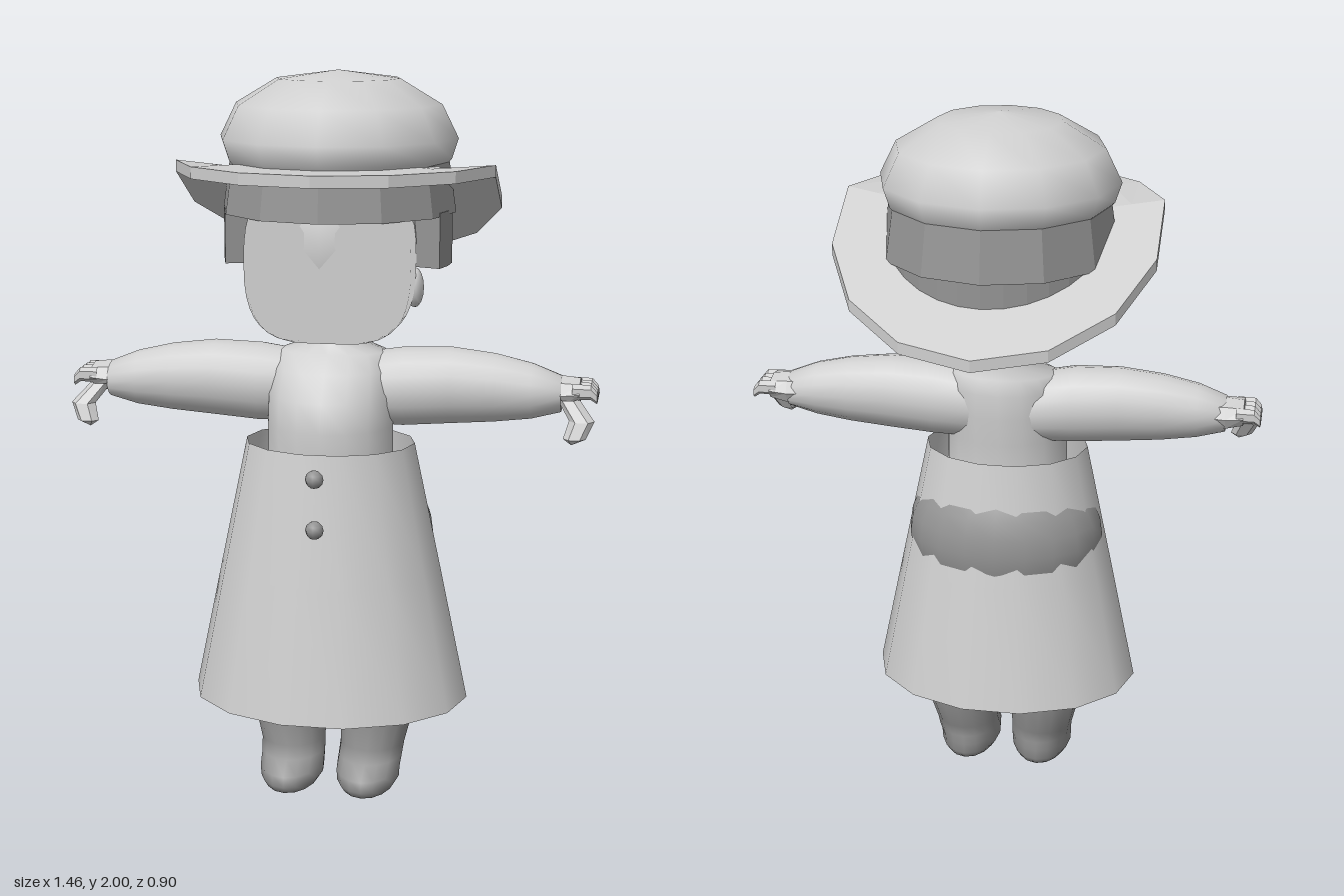
import * as THREE from 'three';
import { mergeVertices } from 'three/addons/utils/BufferGeometryUtils.js';

const light = new THREE.MeshStandardMaterial({ color: 0xcfcfcf, side: THREE.DoubleSide });
light.name = 'lightGrey';
const dark = new THREE.MeshStandardMaterial({ color: 0x949494, side: THREE.DoubleSide });
dark.name = 'midGrey';

// Skin elliptical sections [pos, centreA, centreB, radiusA, radiusB].
// Axis 'y': A = x, B = z. Axis 'x': A = y, B = z, mirrored by side.
function loft(sections, axis = 'y', side = 1, n = 16) {
  const pos = [], idx = [];
  for (const [p, a, b, ra, rb] of sections) {
    for (let j = 0; j < n; j++) {
      const t = (j / n) * Math.PI * 2, c = Math.cos(t) * ra, s = Math.sin(t) * rb;
      if (axis === 'y') pos.push(a + c, p, b - s);
      else pos.push(p * side, a + c, b + s * side);
    }
  }
  for (let i = 0; i < sections.length - 1; i++) {
    for (let j = 0; j < n; j++) {
      const k = (j + 1) % n, a = i * n + j, b = i * n + k;
      idx.push(a, b, a + n, b, b + n, a + n);
    }
  }
  const g = new THREE.BufferGeometry();
  g.setAttribute('position', new THREE.Float32BufferAttribute(pos, 3));
  g.setIndex(idx);
  g.computeVertexNormals();
  return g;
}

function ellipsoid(rx, ry, rz, w = 20, h = 14) {
  return new THREE.SphereGeometry(1, w, h).scale(rx, ry, rz);
}

// Flat-shaded copy of a geometry
function faceted(g) {
  const f = g.toNonIndexed();
  f.computeVertexNormals();
  return f;
}

function lathe(points, sides) {
  return new THREE.LatheGeometry(points.map(([r, y]) => new THREE.Vector2(r, y)), sides);
}

export function createModel() {
  const model = new THREE.Group();
  model.name = 'figure';
  const add = (name, geometry, material, x = 0, y = 0, z = 0, parent = model) => {
    const m = new THREE.Mesh(geometry, material);
    m.name = name;
    m.position.set(x, y, z);
    parent.add(m);
    return m;
  };

  // Torso and neck
  add('torso', loft([
    [0.8, 0, 0.15, 0.19, 0.15], [0.97, 0, 0.155, 0.175, 0.155], [1.05, 0, 0.157, 0.175, 0.163],
    [1.13, 0, 0.145, 0.175, 0.158], [1.2, 0, 0.12, 0.17, 0.132], [1.245, 0, 0.1, 0.15, 0.1],
    [1.27, 0, 0.09, 0.08, 0.075], [1.36, 0, 0.08, 0.065, 0.06],
  ]), light);

  // Hips showing slightly through the back of the skirt
  add('hips', ellipsoid(0.286, 0.24, 0.215), dark, 0, 0.735, 0.128);

  // Open flared skirt with an oval section
  add('skirt', loft([
    [0.27, 0, 0.152, 0.388, 0.305], [0.64, 0, 0.153, 0.311, 0.245], [1.0, 0, 0.155, 0.235, 0.185],
  ], 'y', 1, 14), light);

  // Buttons standing in front of the skirt
  for (const y of [0.81, 0.95]) add('button', ellipsoid(0.025, 0.025, 0.025, 8, 6), dark, 0, y, 0.4);

  for (const s of [1, -1]) {
    const tag = s > 0 ? 'left' : 'right';

    // Leg and foot in one skin
    add(tag + 'Leg', loft([
      [0, s * 0.11, 0.16, 0.001, 0.001], [0, s * 0.11, 0.16, 0.075, 0.13], [0.02, s * 0.11, 0.16, 0.088, 0.142],
      [0.05, s * 0.11, 0.158, 0.09, 0.142], [0.08, s * 0.112, 0.13, 0.091, 0.115],
      [0.11, s * 0.115, 0.115, 0.092, 0.097], [0.27, s * 0.132, 0.085, 0.115, 0.135],
      [0.6, s * 0.13, 0.12, 0.13, 0.16],
    ]), dark);

    // Sleeve
    add(tag + 'Arm', loft([
      [0.08, 1.14, 0.1, 0.1, 0.09], [0.2, 1.15, 0.11, 0.11, 0.1], [0.33, 1.157, 0.11, 0.107, 0.094],
      [0.45, 1.155, 0.112, 0.095, 0.086], [0.55, 1.15, 0.115, 0.077, 0.073],
      [0.63, 1.145, 0.115, 0.05, 0.06], [0.64, 1.145, 0.115, 0.001, 0.001],
    ], 'x', s), light);

    // Hand: palm, four fingers and a thumb
    const hand = new THREE.Group();
    hand.name = tag + 'Hand';
    model.add(hand);
    add('palm', faceted(loft([
      [0.58, 1.15, 0.11, 0.04, 0.055], [0.63, 1.15, 0.11, 0.045, 0.065],
      [0.68, 1.155, 0.11, 0.035, 0.065], [0.69, 1.155, 0.11, 0.001, 0.001],
    ], 'x', s, 8)), light, 0, 0, 0, hand);
    for (let i = 0; i < 4; i++) {
      const z = 0.062 + i * 0.032;
      add('finger', faceted(loft([
        [0.66, 1.16, z, 0.022, 0.017], [0.71, 1.16, z, 0.02, 0.016],
        [0.727, 1.145, z, 0.016, 0.012], [0.73, 1.14, z, 0.001, 0.001],
      ], 'x', s, 6)), light, 0, 0, 0, hand);
    }
    add('thumb', faceted(loft([
      [1.03, s * 0.665, 0.225, 0.001, 0.001], [1.045, s * 0.672, 0.222, 0.03, 0.02],
      [1.09, s * 0.69, 0.2, 0.034, 0.028], [1.14, s * 0.65, 0.155, 0.03, 0.03],
    ], 'y', 1, 6)), light, 0, 0, 0, hand);

    // Ear
    add(tag + 'Ear', ellipsoid(0.025, 0.055, 0.04, 10, 8), light, s * 0.222, 1.42, 0.085);
  }

  // Back of the head
  add('head', ellipsoid(0.232, 0.27, 0.235), light, 0, 1.55, 0.09);

  // Squared-off face with forward normals, so it reads as a flat mask
  const face = mergeVertices(new THREE.SphereGeometry(1, 32, 20));
  const p = face.attributes.position, nrm = face.attributes.normal;
  const soft = (v, e) => Math.sign(v) * Math.pow(Math.abs(v), e);
  for (let i = 0; i < p.count; i++) {
    const y = soft(p.getY(i), 0.75);
    p.setXYZ(i, 0.23 * soft(p.getX(i), 0.55), 0.225 * y, Math.max(0, 0.2 * soft(p.getZ(i), 0.5)));
    nrm.setXYZ(i, 0, 0, 1);
  }
  add('face', face, light, 0, 1.5, 0.12);

  // Hat crown
  add('hatCrown', lathe([
    [0.29, 1.74], [0.312, 1.765], [0.33, 1.82], [0.285, 1.91], [0.17, 1.978], [0, 2.0],
  ], 12), light, 0, 0, 0.025);

  // Hat band, with an inner wall
  add('hatBand', faceted(lathe([
    [0.24, 1.68], [0.24, 1.62], [0.325, 1.62], [0.305, 1.76],
  ], 12)), dark, 0, 0, 0.02);

  // Lower band around the back and sides, open at the face
  const arc = new THREE.Shape();
  arc.absarc(0, 0, 0.315, -0.36, Math.PI + 0.36, false);
  arc.absarc(0, 0, 0.235, Math.PI + 0.36, -0.36, true);
  const nape = new THREE.ExtrudeGeometry(arc, { depth: 0.15, bevelEnabled: false, curveSegments: 10 });
  nape.rotateX(-Math.PI / 2);
  add('napeBand', nape, dark, 0, 1.48, 0.025);

  // Brim: level in front, bent down towards the back
  const brim = lathe([
    [0.28, 0], [0.36, 0], [0.45, 0], [0.45, 0.032], [0.36, 0.032], [0.28, 0.032], [0.28, 0],
  ], 14);
  const b = brim.attributes.position;
  for (let i = 0; i < b.count; i++) {
    b.setY(i, b.getY(i) + 1.725 - 0.53 * Math.max(0, 0.1 - b.getZ(i)));
  }
  add('hatBrim', faceted(brim), light);

  return model;
}
